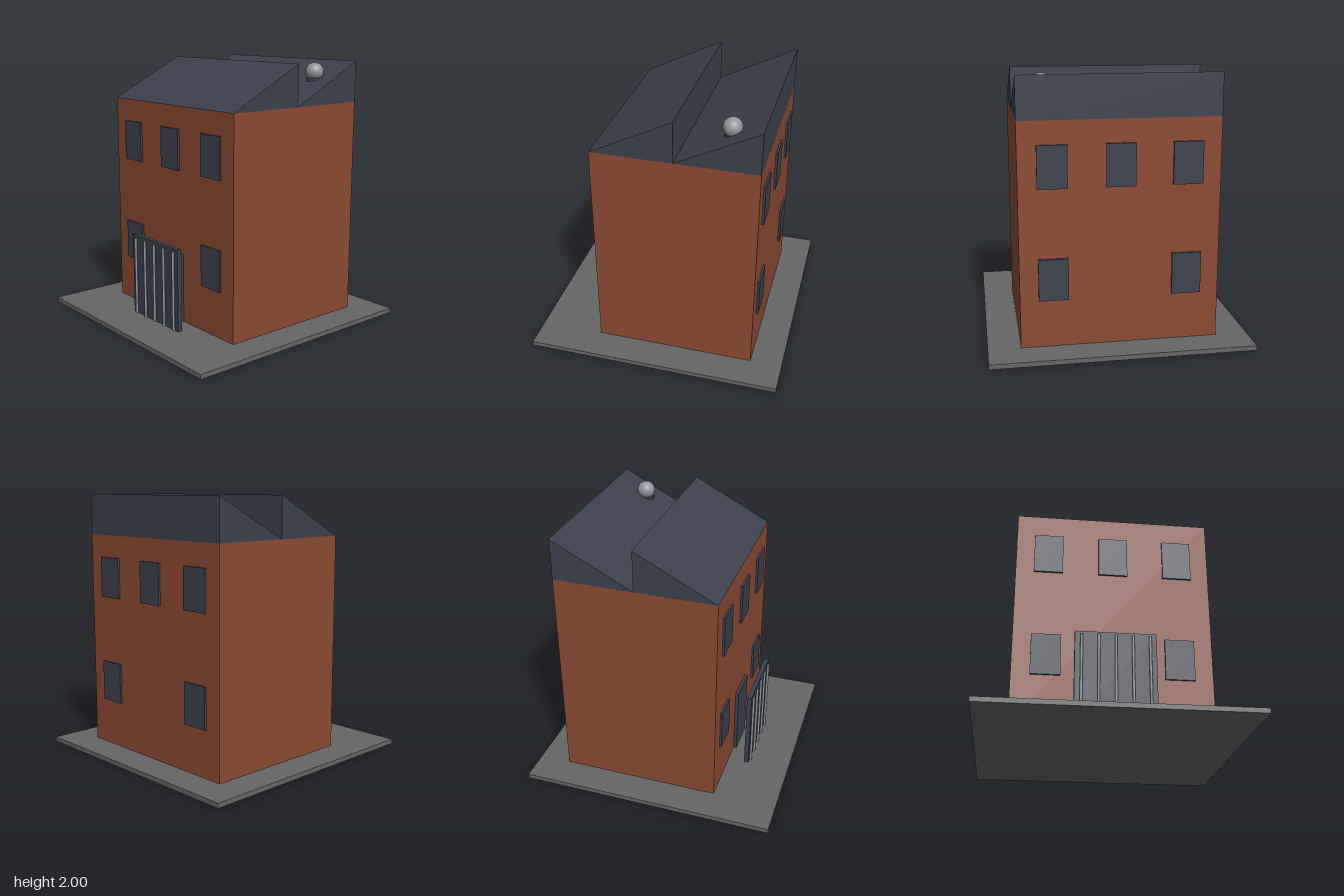
import * as THREE from 'three';

export function createModel() {
  const model = new THREE.Group();
  model.name = 'townhouse';

  const material = (name, color) => {
    const m = new THREE.MeshStandardMaterial({ color });
    m.name = name;
    return m;
  };
  const brick = material('brick', 0x8c4a33);
  const slate = material('slate', 0x3c414e);
  const paving = material('paving', 0x666666);
  const metal = material('metal', 0x90959a);

  const add = (name, geometry, mat, x, y, z) => {
    const mesh = new THREE.Mesh(geometry, mat);
    mesh.name = name;
    mesh.position.set(x, y, z);
    model.add(mesh);
    return mesh;
  };
  // Box given by its extents along each axis
  const box = (name, mat, [x0, x1], [y0, y1], [z0, z1]) =>
    add(name, new THREE.BoxGeometry(x1 - x0, y1 - y0, z1 - z0), mat,
      (x0 + x1) / 2, (y0 + y1) / 2, (z0 + z1) / 2);

  const half = 0.727, front = 0.485, back = -0.727, base = 0.036, eaves = 1.69;
  const middle = (front + back) / 2;

  // Ground slab and brick walls
  box('groundSlab', paving, [-0.968, 0.968], [0, base], [-0.968, 0.968]);
  box('walls', brick, [-half, half], [base, eaves], [back, front]);

  // Two sawtooth roofs, each rising towards the back
  const tooth = new THREE.Shape();
  tooth.moveTo(0, 0);
  tooth.lineTo(front - middle, 0);
  tooth.lineTo(front - middle, 2 - eaves);
  tooth.closePath();
  const roof = new THREE.ExtrudeGeometry(tooth, { depth: half * 2, bevelEnabled: false });
  roof.rotateY(Math.PI / 2);
  add('frontRoof', roof, slate, -half, eaves, front);
  add('backRoof', roof, slate, -half, eaves, middle);

  // Windows: three above, two below, on the front and back
  for (const [side, z] of [['front', front], ['back', back]]) {
    for (const [floor, y] of [['Lower', 0.39], ['Upper', 1.21]]) {
      for (const x of [-0.485, 0, 0.485]) {
        if (x === 0 && floor === 'Lower') continue;
        box(side + floor + 'Window', slate, [x - 0.108, x + 0.108], [y, y + 0.31], [z - 0.016, z + 0.016]);
      }
    }
  }

  // Door, with a free-standing barred gate before it
  box('door', slate, [-0.143, 0.143], [base, 0.575], [0.46, 0.51]);
  box('gatePanel', slate, [-0.29, 0.29], [base, 0.668], [0.613, 0.648]);
  const bar = new THREE.CylinderGeometry(0.01, 0.01, 0.61, 10);
  for (let i = -2; i <= 2; i++) add('gateBar', bar, metal, i * 0.1213, base + 0.305, 0.656);

  // Roof vent: slate pipe with a round metal cap
  add('ventPipe', new THREE.CylinderGeometry(0.06, 0.06, 0.12, 16), slate, 0.53, 1.815, -0.485);
  add('ventCap', new THREE.SphereGeometry(0.07, 20, 14), metal, 0.53, 1.92, -0.485);

  return model;
}
